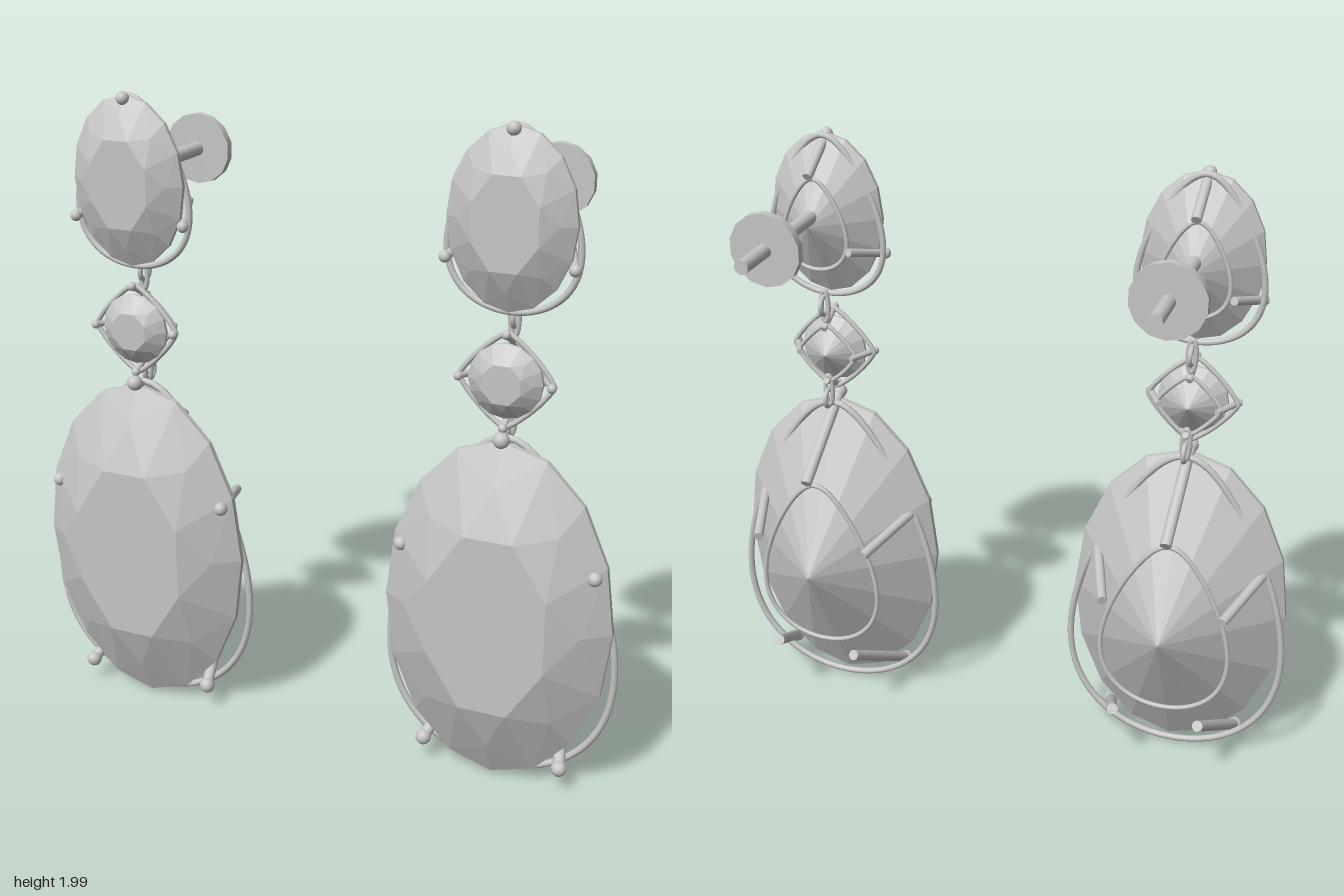
import * as THREE from 'three';

const silver = new THREE.MeshStandardMaterial({ color: 0xc6c6c6 });
silver.name = 'silver grey';

const V = (x, y, z) => new THREE.Vector3(x, y, z);

function add(parent, name, geometry) {
  const mesh = new THREE.Mesh(geometry, silver);
  mesh.name = name;
  parent.add(mesh);
  return mesh;
}

// Brilliant-cut oval stone: table, star facets, kites, girdle band, pointed back.
function gemGeometry(rx, ry, zTable, zGirdle, zApex, band) {
  const at = (k, r, z) => {
    const a = (k * Math.PI) / 8;
    return V(Math.cos(a) * r * rx, Math.sin(a) * r * ry, z);
  };
  const zMid = zGirdle + (zTable - zGirdle) * 0.52;
  const T = (k) => at(k, 0.555, zTable);
  const M = (k) => at(k, 0.78, zMid);
  const G = (k) => at(k, 1, zGirdle);
  const B = (k) => at(k, 1, zGirdle - band);
  const front = V(0, 0, zTable), apex = V(0, 0, zApex);
  const points = [];
  const tri = (a, b, c) => points.push(a, b, c);
  for (let k = 0; k < 16; k += 2) {
    tri(front, T(k - 1), T(k + 1));
    tri(T(k - 1), M(k), T(k + 1));
    tri(T(k + 1), M(k), G(k + 1));
    tri(T(k + 1), G(k + 1), M(k + 2));
    tri(M(k), G(k - 1), G(k));
    tri(M(k), G(k), G(k + 1));
  }
  for (let k = 0; k < 16; k++) {
    tri(G(k), B(k), B(k + 1));
    tri(G(k), B(k + 1), G(k + 1));
    tri(B(k), apex, B(k + 1));
  }
  const g = new THREE.BufferGeometry().setFromPoints(points);
  g.computeVertexNormals();
  return g;
}

function gem(parent, name, y, ...size) {
  add(parent, name, gemGeometry(...size)).position.y = y;
}

// Closed wire following a rule angle -> [x, y].
function wire(parent, name, rule, y, z, radius, count = 48) {
  const pts = [];
  for (let i = 0; i < count; i++) {
    const [px, py] = rule((i / count) * Math.PI * 2);
    pts.push(V(px, py, 0));
  }
  const curve = new THREE.CatmullRomCurve3(pts, true);
  add(parent, name, new THREE.TubeGeometry(curve, 96, radius, 8, true)).position.set(0, y, z);
}

// Pear outline, wider towards the bottom.
const pear = (w, h) => (t) => [w * Math.sin(t) * (1 - 0.38 * Math.cos(t)), h * Math.cos(t)];
// Diamond outline with softened corners and sides.
const diamond = (s) => (t) => {
  const soft = (v) => s * Math.sign(v) * Math.abs(v) ** 1.65;
  return [soft(Math.cos(t)), soft(Math.sin(t))];
};

function rod(parent, name, a, b, radius) {
  const d = b.clone().sub(a);
  const mesh = add(parent, name, new THREE.CylinderGeometry(radius, radius, d.length(), 14));
  mesh.position.copy(a).addScaledVector(d, 0.5);
  mesh.quaternion.setFromUnitVectors(V(0, 1, 0), d.normalize());
}

// Straight claw with a rounded tip at the front.
function prong(parent, tip, end, radius) {
  const group = new THREE.Group();
  group.name = 'prong';
  rod(group, 'prongRod', tip, end, radius);
  const bead = add(group, 'prongTip', new THREE.SphereGeometry(radius * 1.35, 14, 10));
  bead.position.copy(tip);
  parent.add(group);
}

function link(parent, y) {
  const ring = add(parent, 'roundLink', new THREE.TorusGeometry(0.029, 0.008, 8, 24));
  ring.rotation.y = Math.PI / 2;
  ring.position.set(0, y, 0.17);
}

function ovalLink(parent, y) {
  wire(parent, 'ovalLink', (t) => [0.012 * Math.cos(t), 0.052 * Math.sin(t)], y, 0.177, 0.008, 16);
}

function earring() {
  const e = new THREE.Group();
  e.name = 'earring';

  // Upper stone and setting
  gem(e, 'upperStone', 1.727, 0.186, 0.257, 0.302, 0.243, 0.08, 0.014);
  wire(e, 'upperFrame', pear(0.18, 0.257), 1.722, 0.218, 0.01);
  wire(e, 'upperGallery', pear(0.1, 0.145), 1.72, 0.132, 0.007);
  prong(e, V(0, 1.975, 0.25), V(0, 1.88, 0.1), 0.015);
  for (const s of [-1, 1]) prong(e, V(s * 0.185, 1.61, 0.25), V(s * 0.125, 1.655, 0.1), 0.013);

  // Ear post and backing disc
  rod(e, 'post', V(0, 1.752, 0.11), V(0, 1.752, -0.355), 0.022);
  rod(e, 'backingDisc', V(0, 1.752, -0.182), V(0, 1.752, -0.209), 0.112);

  // Middle round stone in a diamond setting
  gem(e, 'middleStone', 1.27, 0.11, 0.11, 0.282, 0.243, 0.152, 0.01);
  wire(e, 'middleFrame', diamond(0.14), 1.27, 0.235, 0.008);
  wire(e, 'middleGallery', diamond(0.1), 1.27, 0.178, 0.007);
  for (let i = 0; i < 4; i++) {
    const c = Math.round(Math.cos((i * Math.PI) / 2)), s = Math.round(Math.sin((i * Math.PI) / 2));
    prong(e, V(c * 0.137, 1.27 + s * 0.137, 0.25), V(c * 0.09, 1.27 + s * 0.09, 0.16), 0.01);
  }

  // Connecting links
  link(e, 1.44);
  link(e, 1.115);
  ovalLink(e, 1.435);
  ovalLink(e, 1.14);

  // Large drop stone and setting
  gem(e, 'dropStone', 0.55, 0.35, 0.54, 0.355, 0.247, -0.065, 0.018);
  wire(e, 'dropFrame', pear(0.332, 0.537), 0.55, 0.2, 0.011);
  wire(e, 'dropGallery', pear(0.195, 0.3), 0.555, 0.032, 0.008);
  prong(e, V(0, 1.1, 0.26), V(0, 0.895, -0.033), 0.018);
  for (const s of [-1, 1]) {
    prong(e, V(s * 0.295, 0.73, 0.27), V(s * 0.19, 0.66, -0.033), 0.016);
    prong(e, V(s * 0.217, 0.078, 0.255), V(s * 0.14, 0.255, -0.033), 0.018);
  }
  return e;
}

export function createModel() {
  const model = new THREE.Group();
  model.name = 'earrings';
  for (const s of [-1, 1]) {
    const e = earring();
    e.name = s > 0 ? 'leftEarring' : 'rightEarring';
    e.position.x = s * 0.597;
    model.add(e);
  }
  return model;
}
